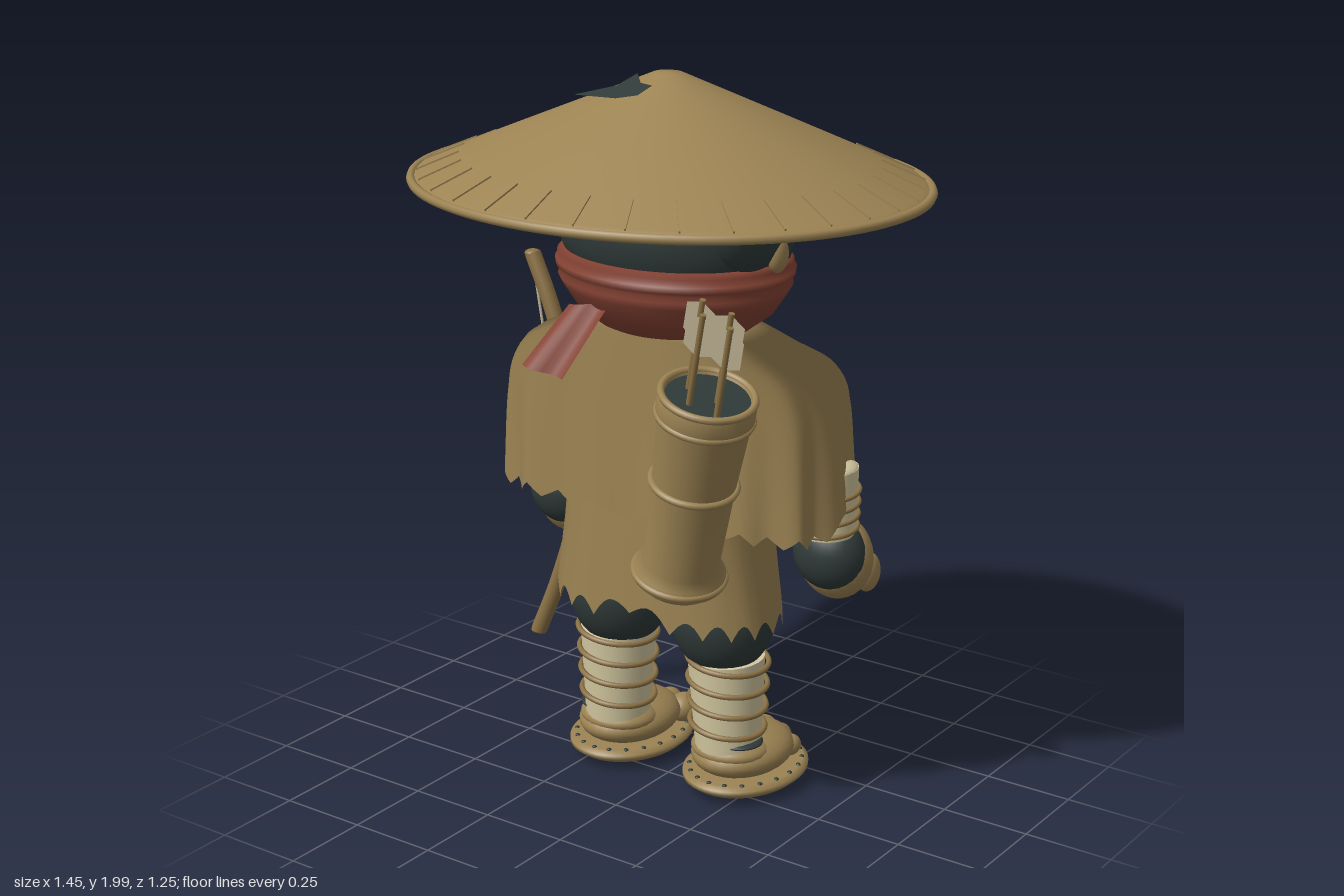
import * as THREE from 'three';
import { ParametricGeometry } from 'three/addons/geometries/ParametricGeometry.js';

const mat = (name, color) => new THREE.MeshStandardMaterial({ name, color, side: THREE.DoubleSide });

export function createModel() {
  const tan = mat('tan cloth', 0x9c8353);
  const brown = mat('brown wood', 0x8c7245);
  const dark = mat('dark green', 0x2f3a38);
  const red = mat('red scarf', 0x864334);
  const cream = mat('cream wrap', 0xd3c8a0);
  const grey = mat('grey feather', 0xbdb193);
  const root = new THREE.Group();
  const V = (x, y, z) => new THREE.Vector3(x, y, z);
  const P2 = (pts) => pts.map((p) => new THREE.Vector2(...p));

  const group = (name, parent = root) => {
    const g = new THREE.Group();
    g.name = name;
    parent.add(g);
    return g;
  };
  const add = (name, geo, material, parent = root, pos = [0, 0, 0]) => {
    const m = new THREE.Mesh(geo, material);
    m.name = name;
    m.position.set(...pos);
    parent.add(m);
    return m;
  };
  const blob = (name, material, parent, pos, r) => {
    const m = add(name, new THREE.SphereGeometry(1, 28, 20), material, parent, pos);
    m.scale.set(...r);
    return m;
  };
  // straight rod between two points
  const rod = (name, material, parent, a, b, ra, rb = ra) => {
    const d = b.clone().sub(a);
    const m = add(name, new THREE.CylinderGeometry(rb, ra, d.length(), 24), material, parent);
    m.position.copy(a).lerp(b, 0.5);
    m.quaternion.setFromUnitVectors(V(0, 1, 0), d.normalize());
    return m;
  };
  const surface = (name, material, parent, fn, nu, nv) =>
    add(name, new ParametricGeometry((u, v, t) => t.set(...fn(u, v)), nu, nv), material, parent);
  const tri = (x) => Math.abs(((x % 1) + 1) % 1 - 0.5) * 2;
  const pw = (s, e) => Math.sign(s) * Math.abs(s) ** e;
  // smooth lookup in rows of [t, rx, rz]
  const profile = (rows) => {
    const curve = new THREE.CatmullRomCurve3(rows.map(([t, a, b]) => V(t, a, b)));
    const pts = curve.getPoints(200);
    return (t) => pts.find((p) => p.x >= t - 1e-6) || pts[200];
  };

  // Wide oval straw hat with rim, ribs and a shallow lining
  const hat = group('hat');
  hat.scale.z = 0.863;
  add('hatCone', new THREE.LatheGeometry(P2([[0.712, 1.712], [0.69, 1.73], [0.4, 1.85], [0.04, 1.998], [0, 2]]), 96), tan, hat);
  add('hatLining', new THREE.LatheGeometry(P2([[0.71, 1.71], [0.5, 1.732], [0.25, 1.748], [0, 1.755]]), 96), tan, hat);
  add('hatRim', new THREE.TorusGeometry(0.71, 0.013, 8, 96).rotateX(Math.PI / 2), tan, hat, [0, 1.714, 0]);
  for (let i = 0; i < 32; i++) {
    const g = group('hatRib', hat);
    g.rotation.y = (i / 32) * Math.PI * 2;
    add('rib', new THREE.BoxGeometry(0.13, 0.01, 0.004), tan, g, [0.635, 1.752, 0]).rotation.z = -0.395;
  }
  const patch = new THREE.ShapeGeometry(new THREE.Shape(P2([[-0.062, 0.05], [-0.027, 0.085], [0.012, 0.089],
    [0, 0.136], [-0.047, 0.167], [-0.163, 0.19], [-0.08, 0.116]])));
  const pp = patch.attributes.position;
  for (let i = 0; i < pp.count; i++) {
    const x = pp.getX(i), z = pp.getY(i);
    pp.setXYZ(i, x, 2.01 - 0.38 * z + 0.08 * Math.abs(x), z);
  }
  patch.index.array.reverse();
  patch.computeVertexNormals();
  add('hatPatch', patch, dark);

  // Head: face towards -z, hair behind
  const head = group('head');
  blob('face', tan, head, [0, 1.57, -0.05], [0.32, 0.22, 0.25]);
  blob('muzzle', tan, head, [0, 1.58, -0.16], [0.22, 0.16, 0.155]);
  const hair = add('hair', new THREE.SphereGeometry(1, 40, 24, 0, Math.PI * 2, 0, 1.855).rotateX(Math.PI / 2), dark, head, [0, 1.6, -0.04]);
  hair.scale.set(0.335, 0.24, 0.28);
  for (const s of [1, -1]) {
    blob('hairLobe', dark, head, [s * 0.27, 1.64, 0.02], [0.085, 0.13, 0.14]);
    blob('ear', tan, head, [s * 0.33, 1.56, -0.02], [0.025, 0.05, 0.035]);
    blob('eye', dark, head, [s * 0.12, 1.63, -0.28], [0.013, 0.015, 0.012]);
  }

  // Scarf with folds, front triangle and back tail
  const scarf = group('scarf');
  add('scarfWrap', new THREE.LatheGeometry(P2([[0.17, 1.31], [0.22, 1.33], [0.28, 1.375], [0.318, 1.43], [0.33, 1.452], [0.318, 1.466],
    [0.336, 1.478], [0.338, 1.495], [0.322, 1.503], [0.332, 1.515], [0.318, 1.53], [0.27, 1.52]]), 64), red, scarf, [0, 0, -0.03]).scale.z = 0.83;
  surface('scarfTriangle', red, scarf, (u, v) => {
    const x = (u - 0.5) * 0.5 * (1 - v);
    return [x, 1.48 - 0.25 * v, -0.315 + x * x * 1.7 + 0.03 * v];
  }, 16, 10);
  surface('scarfTail', red, scarf, (u, v) =>
    [-0.17 + 0.13 * u - 0.09 * v, 1.42 - 0.2 * v + 0.02 * (u - 1) * (1 - 2 * v), 0.21 + 0.09 * v + 0.01 * Math.sin(u * 6)], 8, 8);

  // Tunic with toothed hem
  const tunicAt = profile([[0, 0.02, 0.02], [0.08, 0.2, 0.13], [0.25, 0.28, 0.185], [0.6, 0.295, 0.2], [0.75, 0.31, 0.195], [1, 0.345, 0.182]]);
  surface('tunic', tan, root, (u, v) => {
    const a = u * Math.PI * 2, { y: rx, z: rz } = tunicAt(v);
    const x = rx * pw(Math.sin(a), 0.85);
    const hem = 0.515 + 0.045 * Math.abs(Math.sin(u * 20 * Math.PI)) + 0.04 * Math.exp(-((x / 0.08) ** 2));
    return [x, 1.34 + (hem - 1.34) * v, rz * pw(Math.cos(a), 0.85) - 0.01 * (1 - v)];
  }, 160, 24);
  blob('hips', dark, root, [0, 0.68, 0], [0.27, 0.09, 0.15]);

  // Cape, open at the front, raised over the arms
  const capeAt = profile([[0, 0.17, 0.13], [0.06, 0.32, 0.185], [0.16, 0.44, 0.215], [0.3, 0.49, 0.228], [0.5, 0.508, 0.234], [1, 0.52, 0.235]]);
  surface('cape', tan, root, (u, v) => {
    const a = (u - 0.5) * 2 * 2.8, { y: rx, z: rz } = capeAt(v);
    const hem = 0.81 + 0.03 * tri(u * 23) + 0.025 * Math.cos(a) ** 2
      + 0.17 * Math.exp(-(((Math.abs(a) - 1.95) / 0.3) ** 2));
    const f = 1 + 0.024 * v * Math.sin(Math.abs(a) * 13);
    const y = 1.335 - 0.03 * Math.min(1, v / 0.08) - (1.305 - hem) * Math.max(0, (v - 0.04) / 0.96);
    return [rx * f * pw(Math.sin(a), 0.75), y, -0.03 + rz * f * pw(Math.cos(a), 0.75)];
  }, 184, 28);

  // Chest: strap, belt, knot, patches
  const chest = group('chest');
  const frontZ = (x) => -0.04 - 0.2 * Math.sqrt(1 - (x / 0.31) ** 2);
  surface('strap', tan, chest, (u, v) => {
    const x = 0.23 - 0.42 * v + (u - 0.5) * 0.045;
    return [x, 1.27 - 0.35 * v + (u - 0.5) * 0.055, frontZ(x) - 0.012 - 0.008 * Math.sin(u * Math.PI)];
  }, 6, 16);
  add('belt', new THREE.CylinderGeometry(0.318, 0.318, 0.045, 48, 1, true), tan, chest, [0, 0.91, -0.015]).scale.z = 0.69;
  blob('beltKnot', red, chest, [0, 0.87, -0.26], [0.05, 0.05, 0.045]);
  surface('beltTail', red, chest, (u, v) =>
    [(u - 0.5) * (0.045 + 0.045 * v) - 0.03 * v, 0.85 - 0.19 * v - 0.02 * u * v, -0.255 + 0.015 * Math.sin(v * 3)], 4, 8);
  const tear = P2([[-0.05, 0.04], [0.0, 0.06], [0.045, 0.03], [0.04, -0.03], [0, -0.055], [-0.03, -0.03]]);
  add('chestPatch', new THREE.ShapeGeometry(new THREE.Shape(tear)), dark, chest, [0.035, 1.005, -0.234]);
  for (const s of [1, -1])
    for (const y of [1.15, 1.0])
      add('capeTab', new THREE.BoxGeometry(0.065, 0.08, 0.012), tan, chest, [s * 0.21, y, -0.262]).rotation.z = s * 0.1;
  add('tunicPatch', new THREE.BoxGeometry(0.08, 0.08, 0.01), tan, chest, [-0.18, 0.66, -0.18]).rotation.y = 0.3;

  const soleProfile = P2([[0, 0.008], [0.1, 0.012], [0.145, 0.028], [0.163, 0.044], [0.163, 0.056], [0.148, 0.066], [0, 0.066]]);
  for (const s of [1, -1]) {
    const side = s > 0 ? 'left' : 'right';
    // Leg: thigh, wrapped calf, rope rings
    const leg = group(side + 'Leg');
    blob('thigh', dark, leg, [s * 0.172, 0.53, -0.012], [0.148, 0.165, 0.143]);
    rod('calf', cream, leg, V(s * 0.19, 0.13, -0.02), V(s * 0.183, 0.41, -0.015), 0.092, 0.107);
    for (let i = 0; i < 4; i++) {
      const ring = add('legRope', new THREE.TorusGeometry(0.104 + i * 0.003, 0.008, 8, 36).rotateX(Math.PI / 2), brown, leg, [s * 0.187, 0.21 + i * 0.064, -0.018]);
      ring.rotation.z = -0.12;
    }
    // Foot on an oval sandal
    const foot = group(side + 'Foot');
    add('sole', new THREE.LatheGeometry(soleProfile, 48), tan, foot, [s * 0.197, 0, -0.097]).scale.z = 1.25;
    for (let i = 0; i < 20; i++) {
      const a = (i / 20) * Math.PI * 2;
      blob('stitch', dark, foot, [s * 0.197 + 0.146 * Math.sin(a), 0.066, -0.097 + 0.182 * Math.cos(a)], [0.007, 0.004, 0.007]);
    }
    blob('footBody', tan, foot, [s * 0.195, 0.11, -0.085], [0.135, 0.065, 0.165]);
    blob('ankle', tan, foot, [s * 0.192, 0.135, -0.03], [0.115, 0.042, 0.105]);
    blob('footPatch', dark, foot, [s * 0.215, 0.16, -0.085], [0.05, 0.016, 0.04]);
    blob('ankleTear', dark, foot, [s * 0.215, 0.168, -0.01], [0.085, 0.014, 0.07]);
    for (let i = 0; i < 4; i++) {
      const r = 0.042 - i * 0.004;
      blob('toe', tan, foot, [s * (0.105 + i * 0.06), 0.1, -0.235 + 0.012 * (i - 1) ** 2], [r, r, r * 1.2]);
    }
    // Arm: wrapped forearm, dark glove back, tan fingers
    const arm = group(side + 'Arm');
    rod('forearm', cream, arm, V(s * 0.45, 0.8, -0.1), V(s * 0.445, 0.985, -0.092), 0.076, 0.086);
    blob('elbow', cream, arm, [s * 0.445, 0.983, -0.092], [0.086, 0.028, 0.086]);
    for (let i = 0; i < 4; i++)
      add('armRope', new THREE.TorusGeometry(0.081 + i * 0.001, 0.007, 8, 32).rotateX(Math.PI / 2), brown, arm, [s * 0.448, 0.82 + i * 0.034, -0.097]).rotation.x = 0.1;
    blob('gloveBack', dark, arm, [s * 0.447, 0.74, -0.115], [0.104, 0.105, 0.085]);
    blob('palm', tan, arm, [s * 0.447, 0.72, -0.145], [0.108, 0.12, 0.085]);
    for (let i = 0; i < 4; i++)
      blob('finger', tan, arm, [s * (0.378 + i * 0.046), 0.67 + 0.012 * (i % 3), -0.2], [0.03, 0.055, 0.045]);
    blob('thumb', tan, arm, [s * 0.37, 0.75, -0.19], [0.035, 0.05, 0.045]);
  }

  // Bow held in the right hand
  const bow = group('bow');
  const bowCurve = new THREE.CatmullRomCurve3([[-0.62, 1.385], [-0.56, 1.25], [-0.51, 1.1], [-0.47, 0.9], [-0.46, 0.75],
    [-0.48, 0.6], [-0.545, 0.4], [-0.62, 0.225]].map(([x, y]) => V(x, y, -0.205)));
  add('bowLimb', new THREE.TubeGeometry(bowCurve, 48, 0.024, 12), brown, bow);
  for (const y of [1.385, 0.225]) blob('bowTip', brown, bow, [-0.62, y, -0.205], [0.024, 0.012, 0.024]);
  rod('bowString', grey, bow, V(-0.615, 1.36, -0.2), V(-0.51, 0.8, -0.19), 0.004);

  // Leaning quiver on the back, built upright along its own axis
  const quiver = group('quiver');
  const qa = V(0.2, 0.71, 0.24), axis = V(0.345, 1.27, 0.315).sub(qa);
  const L = axis.length();
  quiver.position.copy(qa);
  quiver.quaternion.setFromUnitVectors(V(0, 1, 0), axis.normalize());
  add('quiverBody', new THREE.LatheGeometry(P2([[0, 0], [0.1, 0], [0.122, 0.02], [0.122, 0.05], [0.1, 0.07], [0.108, 0.31],
    [0.12, L - 0.07], [0.127, L - 0.06], [0.127, L], [0.11, L], [0.11, L - 0.03]]), 40), tan, quiver);
  for (const [y, r] of [[0.035, 0.12], [0.32, 0.111], [L - 0.06, 0.122], [L, 0.12]])
    add('quiverRing', new THREE.TorusGeometry(r, 0.01, 8, 40).rotateX(Math.PI / 2), tan, quiver, [0, y, 0]);
  add('quiverInside', new THREE.CircleGeometry(0.112, 32).rotateX(-Math.PI / 2), dark, quiver, [0, L - 0.008, 0]);
  // Arrows with flat feathers
  [[-0.06, 0.0], [-0.015, 0.06], [0.03, 0.0], [0.07, 0.06]].forEach(([x, z]) => {
    const arrow = group('arrow', quiver);
    arrow.position.set(x, L - 0.05, z);
    arrow.rotation.z = x * 0.1;
    rod('shaft', brown, arrow, V(0, 0, 0), V(0, 0.3, 0), 0.008);
    for (const s of [1, -1])
      add('feather', new THREE.ShapeGeometry(new THREE.Shape(P2([[0, 0.18], [s * 0.044, 0.2], [s * 0.044, 0.275], [0, 0.295]]))), grey, arrow);
  });

  return root;
}
